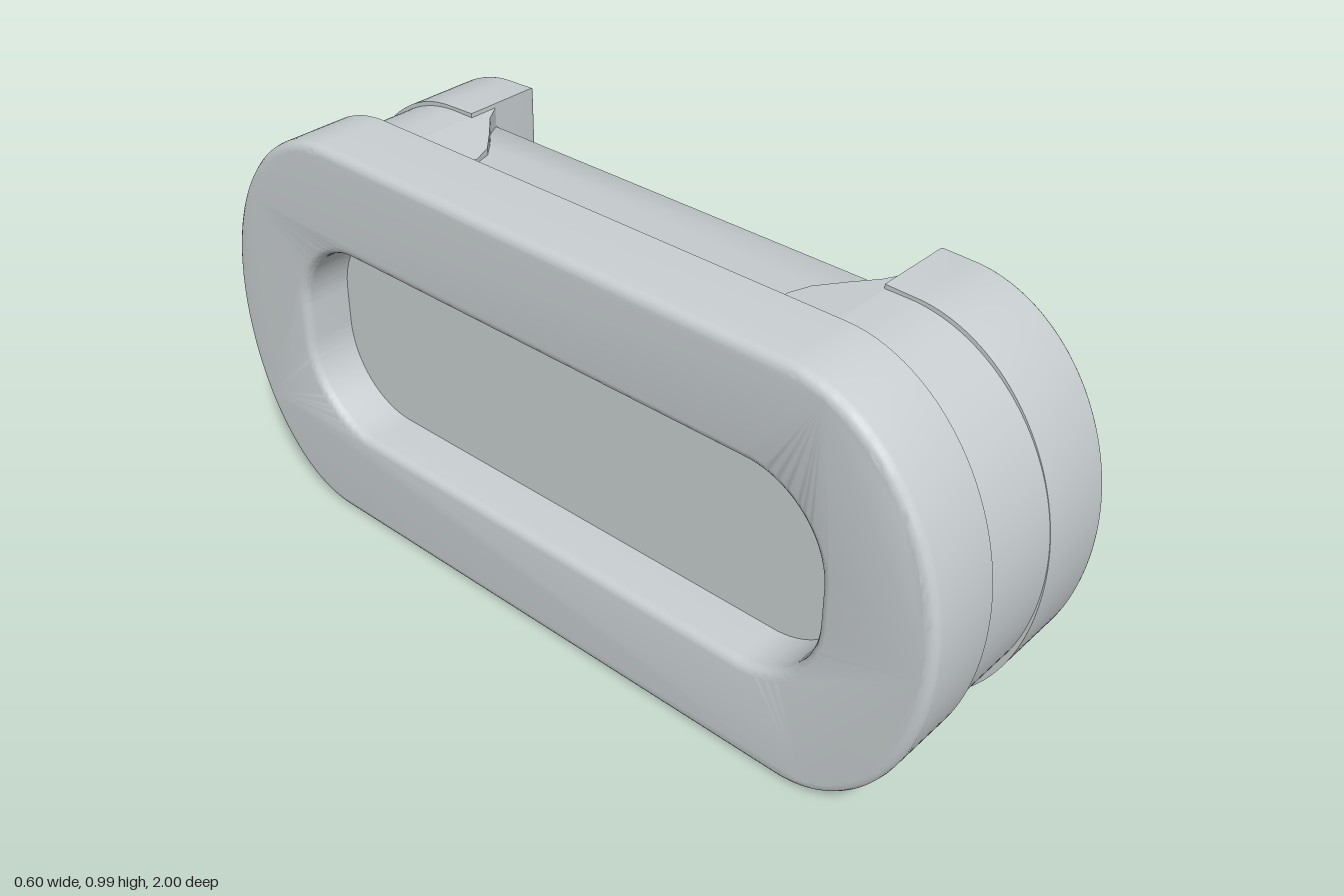
import * as THREE from 'three';
import { toCreasedNormals } from 'three/addons/utils/BufferGeometryUtils.js';

const H = Math.PI / 2;

// Rounded outline in the z-y plane, counter-clockwise; notch adds points along the top
function loop(path, hz, y0, y1, rz, ry, { cz = 0, bottomRz = rz, notch = () => {} } = {}) {
  path.absellipse(cz + hz - bottomRz, y0 + ry, bottomRz, ry, -H, 0, false);
  path.absellipse(cz + hz - rz, y1 - ry, rz, ry, 0, H, false);
  notch(path);
  path.absellipse(cz - hz + rz, y1 - ry, rz, ry, H, 2 * H, false);
  path.absellipse(cz - hz + bottomRz, y0 + ry, bottomRz, ry, 2 * H, 3 * H, false);
  return path;
}

// Extrude a z-y outline from x0 to x1, rounding the edges on one side (-1 or +1)
function slab(shape, x0, x1, bevel, side) {
  const geo = new THREE.ExtrudeGeometry(shape, {
    depth: x1 - x0 - bevel, bevelEnabled: bevel > 0, bevelThickness: bevel,
    bevelSize: bevel, bevelOffset: -bevel, bevelSegments: 4, curveSegments: 20,
  });
  geo.translate(0, 0, side < 0 ? x0 + bevel : x0);
  const p = geo.attributes.position;
  for (let i = 0; i < p.count; i++) p.setZ(i, THREE.MathUtils.clamp(p.getZ(i), x0, x1));
  geo.rotateY(H);
  return toCreasedNormals(geo, 0.6);
}

export function createModel() {
  const group = new THREE.Group();
  const grey = new THREE.MeshStandardMaterial({ color: 0xc8ced0 });
  grey.name = 'plain grey';
  const add = (name, geo) => {
    const mesh = new THREE.Mesh(geo, grey);
    mesh.name = name;
    group.add(mesh);
  };
  const box = (name, x0, x1, y0, y1, hz) => {
    const geo = new THREE.BoxGeometry(x1 - x0, y1 - y0, 2 * hz);
    geo.translate((x0 + x1) / 2, (y0 + y1) / 2, 0);
    add(name, geo);
  };

  // Full-height flange with a window
  const flange = loop(new THREE.Shape(), 1, 0.005, 0.994, 0.37, 0.494, { bottomRz: 0.33 });
  flange.holes.push(loop(new THREE.Path(), 0.745, 0.255, 0.745, 0.19, 0.2));
  add('flange', slab(flange, -0.305, -0.12, 0.022, -1));

  // Middle ring, cut low along its top and grooved along its bottom
  const ring = loop(new THREE.Shape(), 0.996, 0.04, 0.948, 0.37, 0.454, {
    bottomRz: 0.33,
    notch: (path) => {
      path.lineTo(0.575, 0.948);
      path.lineTo(0.575, 0.885);
      path.lineTo(-0.575, 0.885);
      path.lineTo(-0.575, 0.948);
    },
  });
  ring.holes.push(loop(new THREE.Path(), 0.77, 0.24, 0.8, 0.18, 0.2));
  add('middleRing', slab(ring, -0.13, 0.168, 0, 1));

  // Open-topped end ring, its two ends hanging down into the window
  const open = loop(new THREE.Shape(), 0.998, 0.01, 0.956, 0.36, 0.473, {
    bottomRz: 0.32,
    notch: (path) => {
      path.lineTo(0.572, 0.958);
      path.lineTo(0.572, 0.74);
      path.absellipse(0.59, 0.54, 0.155, 0.2, H, 0, true);
      path.absellipse(0.555, 0.45, 0.19, 0.195, 0, -H, true);
      path.absellipse(-0.555, 0.45, 0.19, 0.195, -H, -2 * H, true);
      path.absellipse(-0.59, 0.54, 0.155, 0.2, -2 * H, -3 * H, true);
      path.lineTo(-0.572, 0.74);
      path.lineTo(-0.572, 0.958);
    },
  });
  // Sockets in the two ends
  for (const s of [-1, 1]) {
    open.holes.push(loop(new THREE.Path(), 0.045, 0.775, 0.92, 0.022, 0.022, { cz: s * 0.652 }));
  }
  add('openRing', slab(open, 0.088, 0.292, 0.014, 1));

  // Deck sloping down from the flange to the window
  const deckProfile = new THREE.Shape(
    [[-0.13, 0.82], [0.172, 0.82], [0.172, 0.892], [0.162, 0.901], [0.05, 0.915], [-0.13, 0.936]]
      .map(([x, y]) => new THREE.Vector2(x, y)));
  const deck = new THREE.ExtrudeGeometry(deckProfile, { depth: 1.15, bevelEnabled: false });
  deck.translate(0, 0, -0.575);
  add('deck', toCreasedNormals(deck, 0.9));

  // Ramps at both ends of the deck
  for (const s of [-1, 1]) {
    const plan = new THREE.Shape(
      [[-0.13, 0.445], [-0.03, 0.43], [0.02, 0.45], [0.07, 0.495], [0.12, 0.545], [0.168, 0.575], [-0.13, 0.575]]
        .map(([x, z]) => new THREE.Vector2(x, -s * z)));
    const geo = new THREE.ExtrudeGeometry(plan, { depth: 0.098, bevelEnabled: false });
    geo.rotateX(-H);
    geo.translate(0, 0.85, 0);
    // The ramp tops sink towards the middle of the deck
    const p = geo.attributes.position;
    for (let i = 0; i < p.count; i++) {
      if (p.getY(i) > 0.9) p.setY(i, 0.948 - 0.1 * (0.575 - Math.abs(p.getZ(i))));
    }
    geo.computeVertexNormals();
    add('deckRamp', geo);
  }

  // Panel closing the window, and the narrow ledge above it
  box('windowPanel', -0.18, 0.164, 0.2, 0.82, 0.79);
  box('ledge', 0.1, 0.2, 0.797, 0.82, 0.58);

  return group;
}
